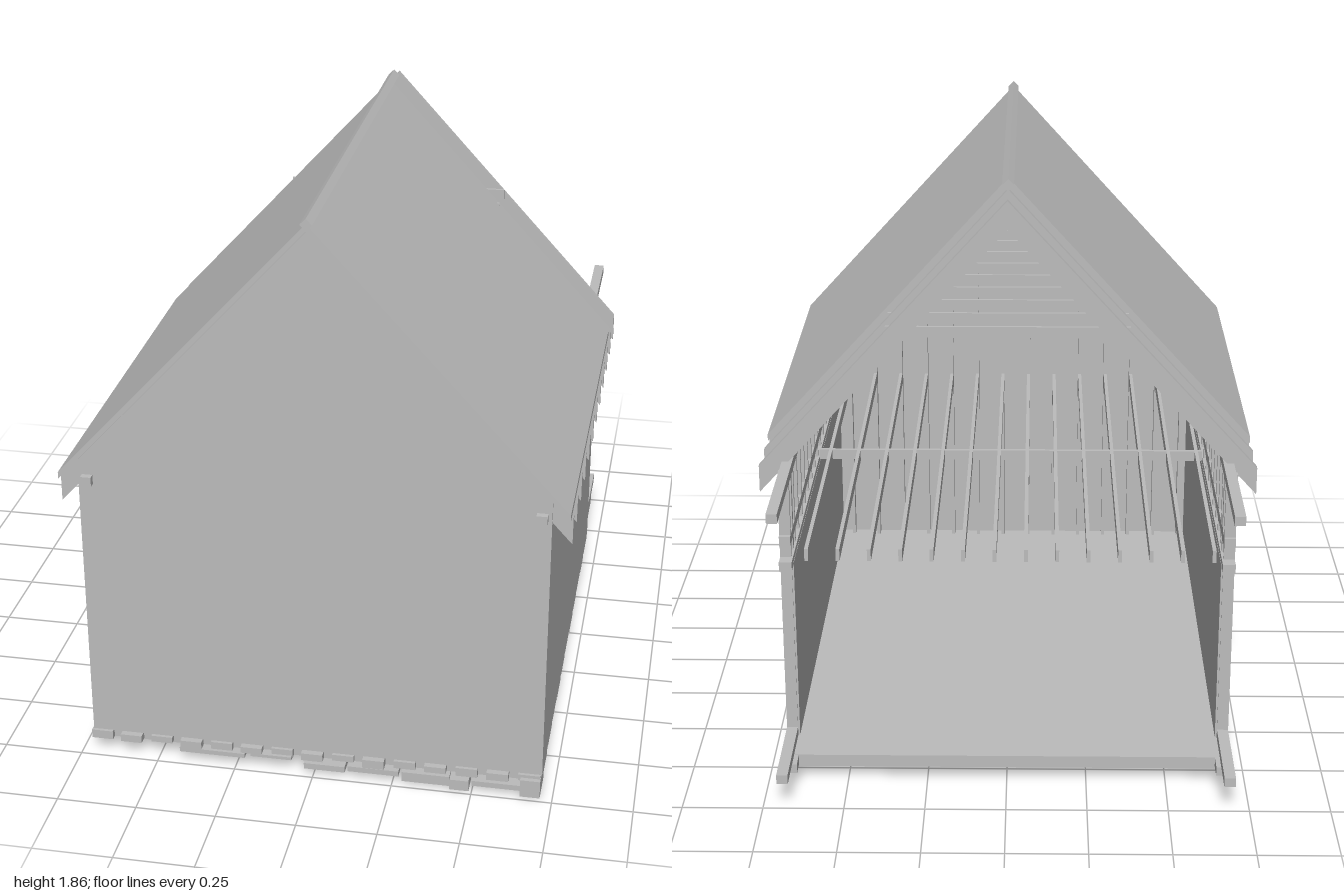
import * as THREE from 'three';

export function createModel() {
  const model = new THREE.Group();
  const timber = new THREE.MeshStandardMaterial({ color: 0xbcbcbc });
  timber.name = 'pale grey timber';

  // Box given by its limits on each axis
  function box(name, x0, x1, y0, y1, z0, z1) {
    const m = new THREE.Mesh(new THREE.BoxGeometry(x1 - x0, y1 - y0, z1 - z0), timber);
    m.position.set((x0 + x1) / 2, (y0 + y1) / 2, (z0 + z1) / 2);
    m.name = name;
    model.add(m);
    return m;
  }
  // Same box on the left (+x) and right (-x)
  function pair(name, x0, x1, ...yz) {
    box(name + 'Left', x0, x1, ...yz);
    box(name + 'Right', -x1, -x0, ...yz);
  }
  // Outline in x and y, extruded from z0 to z1
  function slab(name, pts, z0, z1) {
    const shape = new THREE.Shape(pts.map(p => new THREE.Vector2(p[0], p[1])));
    const geo = new THREE.ExtrudeGeometry(shape, { depth: z1 - z0, bevelEnabled: false });
    const m = new THREE.Mesh(geo, timber);
    m.position.z = z0;
    m.name = name;
    model.add(m);
  }
  const SLOPE = 1.097;
  // Sloping strip on both sides of the ridge
  function slopes(name, top, depth, run, z0, z1) {
    for (const s of [-1, 1]) {
      slab(name + (s > 0 ? 'Left' : 'Right'), [
        [0, top], [s * run, top - SLOPE * run],
        [s * run, top - SLOPE * run - depth], [0, top - depth],
      ], z0, z1);
    }
  }

  // Wall cladding
  pair('sideCladding', 0.705, 0.715, 0.07, 0.955, -0.6, 0.955);
  slab('frontGableCladding', [
    [-0.715, 0.075], [0.715, 0.075], [0.715, 1.03], [0, 1.815], [-0.715, 1.03],
  ], 0.955, 0.965);

  // Sills, top plates and inner wall lining
  pair('sill', 0.67, 0.705, 0.085, 0.115, -1, 0.955);
  pair('topPlate', 0.67, 0.703, 0.955, 0.985, -1, 0.985);
  pair('lining', 0.664, 0.67, 0.085, 0.69, -0.69, 0.95);

  // Wall studs
  pair('endStud', 0.67, 0.705, 0.115, 0.955, -0.694, -0.682);
  pair('cornerStud', 0.67, 0.705, 0.115, 0.955, -0.635, -0.615);
  for (let i = 0; i < 15; i++) {
    const z = -0.57 + i * 0.105;
    pair('stud', 0.67, 0.705, 0.115, 0.955, z - 0.007, z + 0.007);
  }
  for (let i = 0; i < 14; i++) {
    const x = -0.64 + i * 0.097;
    box('gableStud', x - 0.006, x + 0.006, 0.085, 1.76 - SLOPE * Math.abs(x), 0.92, 0.955);
  }

  // Floor deck, floor joists and their blocking
  box('floorDeck', -0.7, 0.7, 0.078, 0.086, -0.82, 0.955);
  box('frontRim', -0.7, 0.7, 0.046, 0.078, 0.94, 0.955);
  box('backRim', -0.7, 0.7, 0.046, 0.078, -0.82, -0.805);
  box('floorBlocking', -0.66, 0.66, 0.05, 0.078, 0.07, 0.085);
  pair('sideRim', 0.655, 0.705, 0.055, 0.085, -0.88, 0.955);
  for (let i = 0; i < 14; i++) {
    const x = -0.64 + i * 0.097;
    box('floorJoist', x - 0.008, x + 0.008, 0.046, 0.078, -0.805, 0.94);
  }

  // Ceiling joists carried on ledgers
  pair('ledger', 0.665, 0.705, 0.68, 0.71, -0.735, 0.95);
  pair('joistCap', 0.67, 0.705, 0.752, 0.785, -0.708, 0.95);
  box('ceilingBlocking', -0.66, 0.66, 0.715, 0.75, 0.12, 0.134);
  for (let i = 0; i < 14; i++) {
    const x = -0.64 + i * 0.097;
    box('ceilingJoist', x - 0.006, x + 0.006, 0.71, 0.75, -0.72, 0.95);
  }

  // Rafters with collar ties
  for (let i = 0; i < 12; i++) {
    const z = 0.938 - i * 0.1371;
    slopes('rafter', 1.82, 0.088, 0.775, z - 0.01, z + 0.01);
    box('collarTie', -0.375, 0.375, 1.385, 1.42, z + 0.01, z + 0.02);
  }

  // Roof panels and ridge
  slopes('roofPanel', 1.842, 0.022, 0.77, -0.38, 0.988);
  slab('ridgeCap', [[0, 1.858], [-0.018, 1.84], [0, 1.818], [0.018, 1.84]], -0.465, 0.99);

  // Footing stones under the front edge
  for (let i = 0; i < 15; i++) {
    const x = -0.685 + i * 0.0972;
    box('frontStone', x - 0.034, x + 0.034, 0.046 + (i % 3) * 0.004, 0.075, 0.925, 0.975 + (i % 2) * 0.01);
  }
  // Footing stones along the sides
  for (let i = 0; i < 11; i++) {
    const z = 0.86 - i * 0.14;
    pair('sideStone', 0.66, 0.714, 0.048 + (i % 3) * 0.005, 0.072, z - 0.06, z + 0.06);
  }
  // Lower courses towards the left front corner
  const low = [
    [-0.43, -0.22, 0.035, 0.05], [-0.2, -0.07, 0.045, 0.055], [-0.03, 0.1, 0.02, 0.04],
    [0.11, 0.27, 0.027, 0.045], [0.28, 0.43, 0.012, 0.045], [0.43, 0.49, 0, 0.036],
    [0.5, 0.65, 0.022, 0.04],
  ];
  for (const [x0, x1, y0, y1] of low) box('lowerStone', x0, x1, y0, y1, 0.92, 0.985);
  box('cornerStone', 0.65, 0.712, 0.005, 0.065, 0.88, 0.99);
  for (const [z0, z1, y] of [[0.75, 0.88, 0.01], [0.6, 0.73, 0.022], [0.48, 0.59, 0.03], [0.33, 0.47, 0.022]]) {
    box('lowerSideStone', 0.65, 0.71, y, y + 0.02, z0, z1);
  }

  return model;
}
